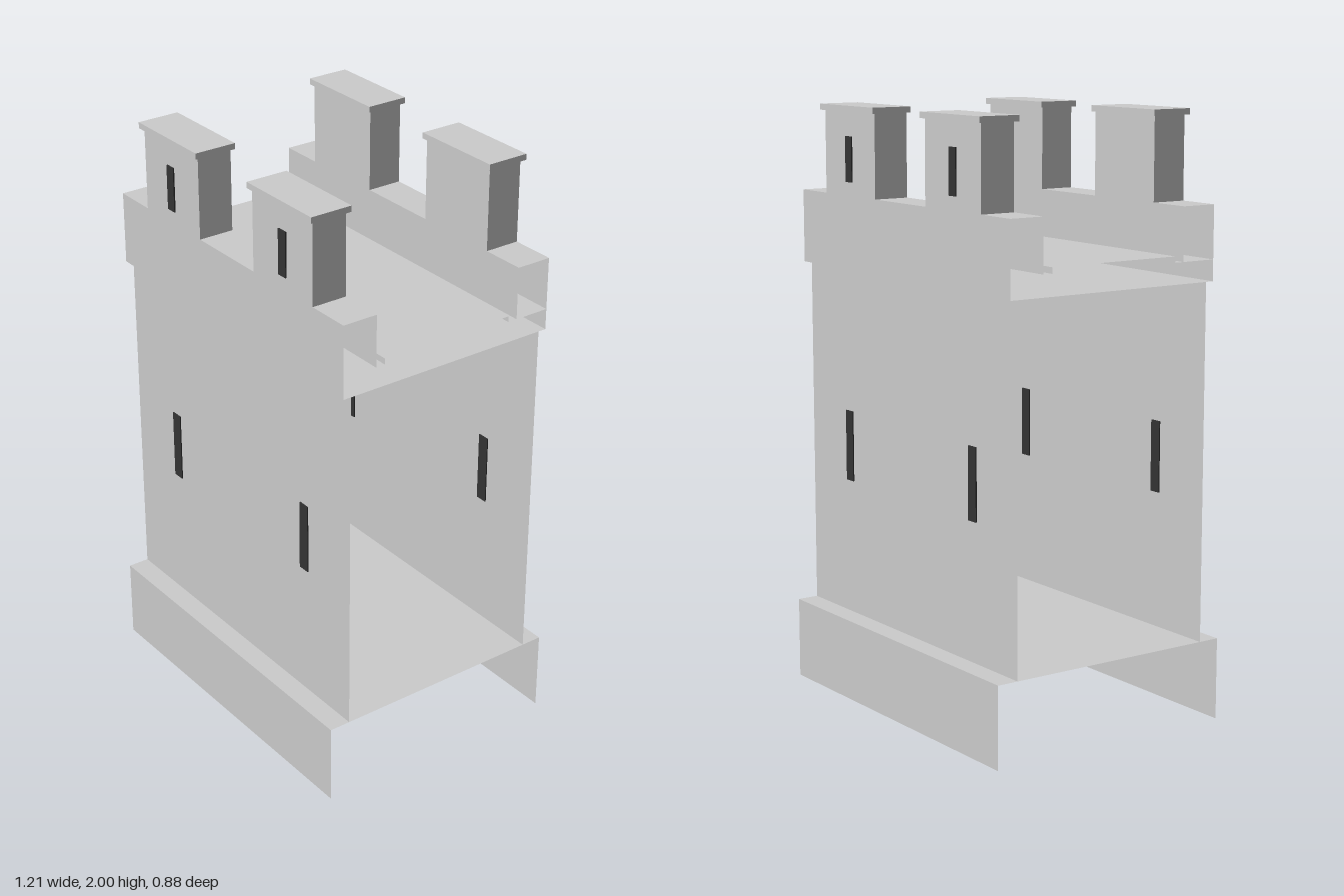
import * as THREE from 'three';

const HALF = 0.605; // half length of the tower along x

const stone = new THREE.MeshStandardMaterial({ color: 0xcccccc, side: THREE.DoubleSide, flatShading: true });
const dark = new THREE.MeshStandardMaterial({ color: 0x333333 });

// Open sheet: a polyline of [z, y] points swept along x
function sheet(name, profile) {
  const pos = [];
  for (let i = 0; i < profile.length - 1; i++) {
    const [z0, y0] = profile[i], [z1, y1] = profile[i + 1];
    pos.push(-HALF, y0, z0, HALF, y0, z0, HALF, y1, z1);
    pos.push(-HALF, y0, z0, HALF, y1, z1, -HALF, y1, z1);
  }
  const geo = new THREE.BufferGeometry();
  geo.setAttribute('position', new THREE.Float32BufferAttribute(pos, 3));
  geo.computeVertexNormals();
  const mesh = new THREE.Mesh(geo, stone);
  mesh.name = name;
  return mesh;
}

// Box given by its limits on each axis
function box(name, [x0, x1], [y0, y1], [z0, z1], material) {
  const geo = new THREE.BoxGeometry(x1 - x0, y1 - y0, Math.abs(z1 - z0));
  const mesh = new THREE.Mesh(geo, material);
  mesh.position.set((x0 + x1) / 2, (y0 + y1) / 2, (z0 + z1) / 2);
  mesh.name = name;
  return mesh;
}

export function createModel() {
  const group = new THREE.Group();

  // Plinth: two skirts joined by the floor, open below and at both ends
  group.add(sheet('plinth', [[0.44, 0], [0.44, 0.275], [-0.44, 0.275], [-0.44, 0]]));

  // Underside of the roof, overhanging the walls
  group.add(sheet('roofUnderside', [[0.395, 1.46], [-0.395, 1.46]]));

  // Roof deck with a slightly raised middle
  group.add(sheet('roofDeck', [
    [0.395, 1.53], [0.24, 1.53], [0.24, 1.55],
    [-0.24, 1.55], [-0.24, 1.53], [-0.395, 1.53],
  ]));

  for (const s of [1, -1]) {
    const side = s > 0 ? 'front' : 'back';
    group.add(sheet(side + 'Wall', [[s * 0.367, 0.275], [s * 0.367, 1.46]]));

    // Hollow parapet, open at both ends
    group.add(sheet(side + 'Parapet', [
      [s * 0.395, 1.46], [s * 0.395, 1.705], [s * 0.273, 1.705], [s * 0.273, 1.53],
    ]));

    for (const m of [1, -1]) {
      const span = (a, b) => (m > 0 ? [a, b] : [-b, -a]);
      // Turret with its cap
      group.add(box(side + 'Turret', span(0.147, 0.453), [1.705, 1.98], [s * 0.273, s * 0.395], stone));
      group.add(box(side + 'TurretCap', span(0.138, 0.465), [1.98, 2], [s * 0.262, s * 0.408], stone));
      // Arrow slits in turret and wall
      group.add(box(side + 'TurretSlit', span(0.285, 0.322), [1.75, 1.9], [s * 0.39, s * 0.4], dark));
      group.add(box(side + 'WallSlit', span(0.344, 0.386), [0.735, 0.975], [s * 0.363, s * 0.371], dark));
    }
  }
  return group;
}
